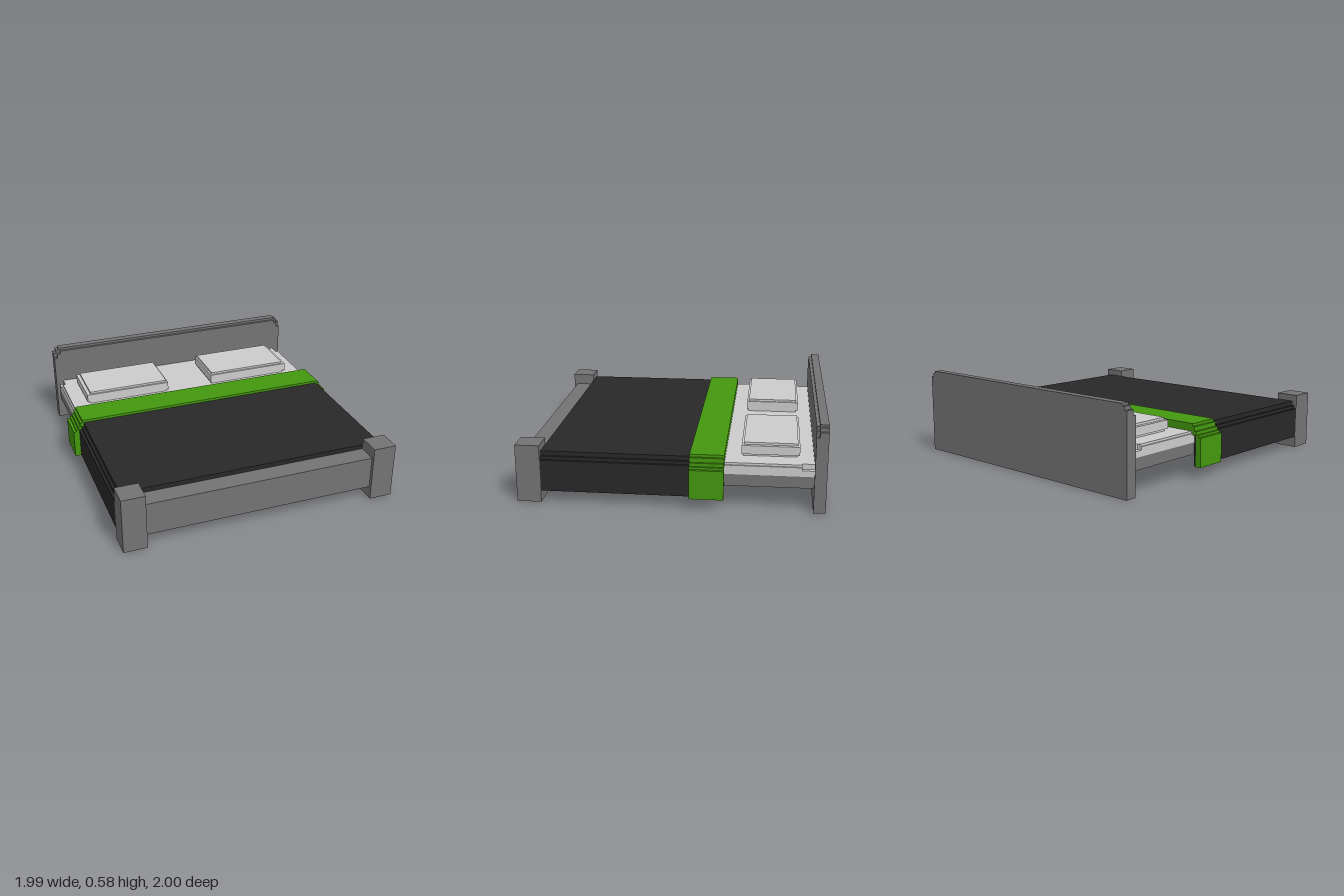
import * as THREE from 'three';

const paint = (color) => new THREE.MeshStandardMaterial({ color, side: THREE.DoubleSide, flatShading: true });

export function createModel() {
  const bed = new THREE.Group();
  const wood = paint(0x737373), linen = paint(0xcccccc), black = paint(0x282828), green = paint(0x44970f);

  function add(name, geometry, material) {
    const mesh = new THREE.Mesh(geometry, material);
    mesh.name = name;
    bed.add(mesh);
    return mesh;
  }

  // Box given by its limits on each axis
  function box(name, [x0, x1], [y0, y1], [z0, z1], material) {
    const geometry = new THREE.BoxGeometry(x1 - x0, y1 - y0, z1 - z0);
    geometry.translate((x0 + x1) / 2, (y0 + y1) / 2, (z0 + z1) / 2);
    return add(name, geometry, material);
  }

  // Symmetric outline with stair-stepped shoulders; steps are [x, top y], outermost first.
  // An inner [x, y] hollows it out from below.
  function stepped(name, steps, bottom, [z0, z1], material, inner) {
    const right = [[steps[0][0], bottom]];
    steps.forEach(([x, y], i) => {
      right.push([x, y]);
      if (i < steps.length - 1) right.push([steps[i + 1][0], y]);
    });
    const points = [...right, ...right.map(([x, y]) => [-x, y]).reverse()];
    if (inner) {
      const [x, y] = inner;
      points.push([-x, bottom], [-x, y], [x, y], [x, bottom]);
    }
    const shape = new THREE.Shape(points.map(([x, y]) => new THREE.Vector2(x, y)));
    const geometry = new THREE.ExtrudeGeometry(shape, { depth: z1 - z0, bevelEnabled: false });
    geometry.translate(0, 0, z0);
    return add(name, geometry, material);
  }

  // Headboard: back board with a slightly lower facing
  stepped('headboard', [[0.955, 0.54], [0.935, 0.565], [0.915, 0.58]], 0, [-1, -0.943], wood);
  stepped('headboardFacing', [[0.955, 0.505], [0.93, 0.54], [0.905, 0.563]], 0, [-0.943, -0.922], wood);

  // Footboard
  box('footboardPanel', [-0.795, 0.795], [0.083, 0.31], [0.84, 0.975], wood);
  for (const side of [-1, 1]) {
    const post = box('footPost', [-0.08, 0.08], [0, 0.388], [0.84, 1], wood);
    post.position.x = side * 0.875;
  }

  // Base and mattress, with the mattress corners lowered beside the headboard
  box('bedBase', [-0.93, 0.93], [0.157, 0.235], [-0.922, 0.84], wood);
  stepped('mattress', [[0.93, 0.295], [0.92, 0.31]], 0.235, [-0.845, 0.84], linen);
  stepped('mattressHead', [[0.93, 0.275], [0.9, 0.31]], 0.235, [-0.922, -0.845], linen);

  // Pillows
  for (const side of [-1, 1]) {
    const x = (a, b) => [Math.min(side * a, side * b) - 0.005, Math.max(side * a, side * b) - 0.005];
    box('pillowUnderside', x(0.185, 0.785), [0.305, 0.327], [-0.815, -0.465], linen);
    box('pillow', x(0.175, 0.807), [0.327, 0.385], [-0.83, -0.455], linen);
    box('pillowTop', x(0.187, 0.782), [0.385, 0.4], [-0.817, -0.468], linen);
  }

  // Blanket and runner draped over the sides
  stepped('blanket', [[0.955, 0.29], [0.937, 0.312], [0.92, 0.342]], 0.08, [-0.335, 0.84], black, [0.932, 0.285]);
  stepped('runner', [[0.997, 0.275], [0.977, 0.29], [0.962, 0.312], [0.947, 0.342], [0.93, 0.36]],
    0.08, [-0.352, -0.13], green, [0.955, 0.285]);

  return bed;
}
